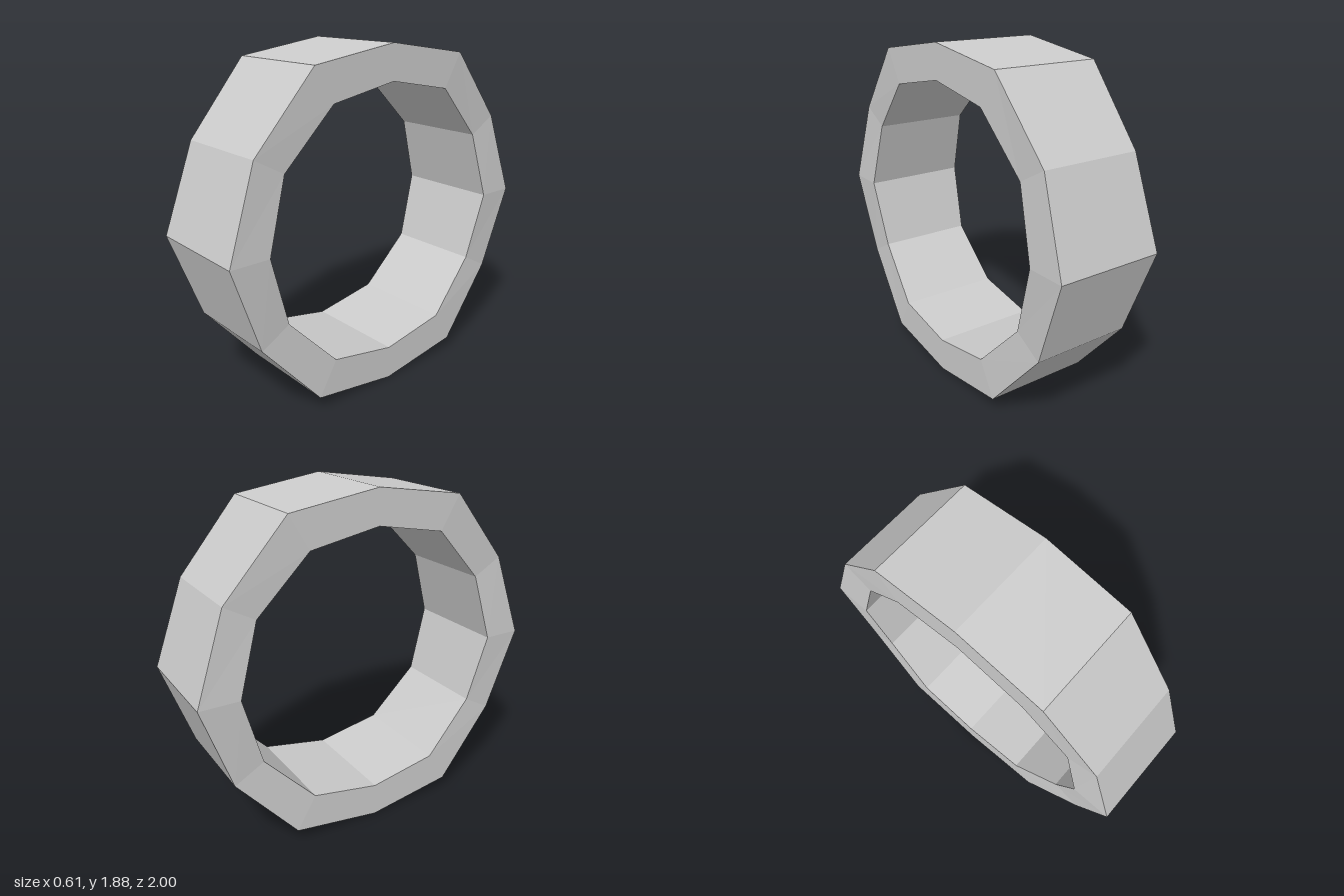
import * as THREE from 'three';

const CENTRE_Y = 0.94;
// Quarter of the ring, side to top: outer z, outer y, inner z, inner y, half width
const QUARTER = [
  [1.0, 0.0, 0.78, 0.0, 0.303],
  [0.835, 0.475, 0.67, 0.383, 0.281],
  [0.5, 0.865, 0.39, 0.678, 0.303],
  [0.0, 0.94, 0.0, 0.75, 0.303],
];

// Four corners of the band's cross-section at one of the twelve stations
function section(i) {
  const k = i % 6;
  const [oz, oy, iz, iy, h] = QUARTER[k <= 3 ? k : 6 - k];
  const sz = i > 3 && i < 9 ? -1 : 1;
  const sy = i > 6 ? -1 : 1;
  const point = (x, y, z) => [x, CENTRE_Y + sy * y, sz * z];
  return [point(-h, oy, oz), point(h, oy, oz), point(h, iy, iz), point(-h, iy, iz)];
}

function ringGeometry() {
  const positions = [];
  for (let i = 0; i < 12; i++) {
    const a = section(i);
    const b = section((i + 1) % 12);
    for (let c = 0; c < 4; c++) {
      const d = (c + 1) % 4;
      positions.push(...a[c], ...a[d], ...b[d], ...a[c], ...b[d], ...b[c]);
    }
  }
  const geometry = new THREE.BufferGeometry();
  geometry.setAttribute('position', new THREE.Float32BufferAttribute(positions, 3));
  geometry.computeVertexNormals();
  return geometry;
}

export function createModel() {
  const group = new THREE.Group();
  group.name = 'ring';
  // Faceted twelve-sided band
  const band = new THREE.Mesh(
    ringGeometry(),
    new THREE.MeshStandardMaterial({ color: 0xcccccc, flatShading: true })
  );
  band.name = 'band';
  group.add(band);
  return group;
}
